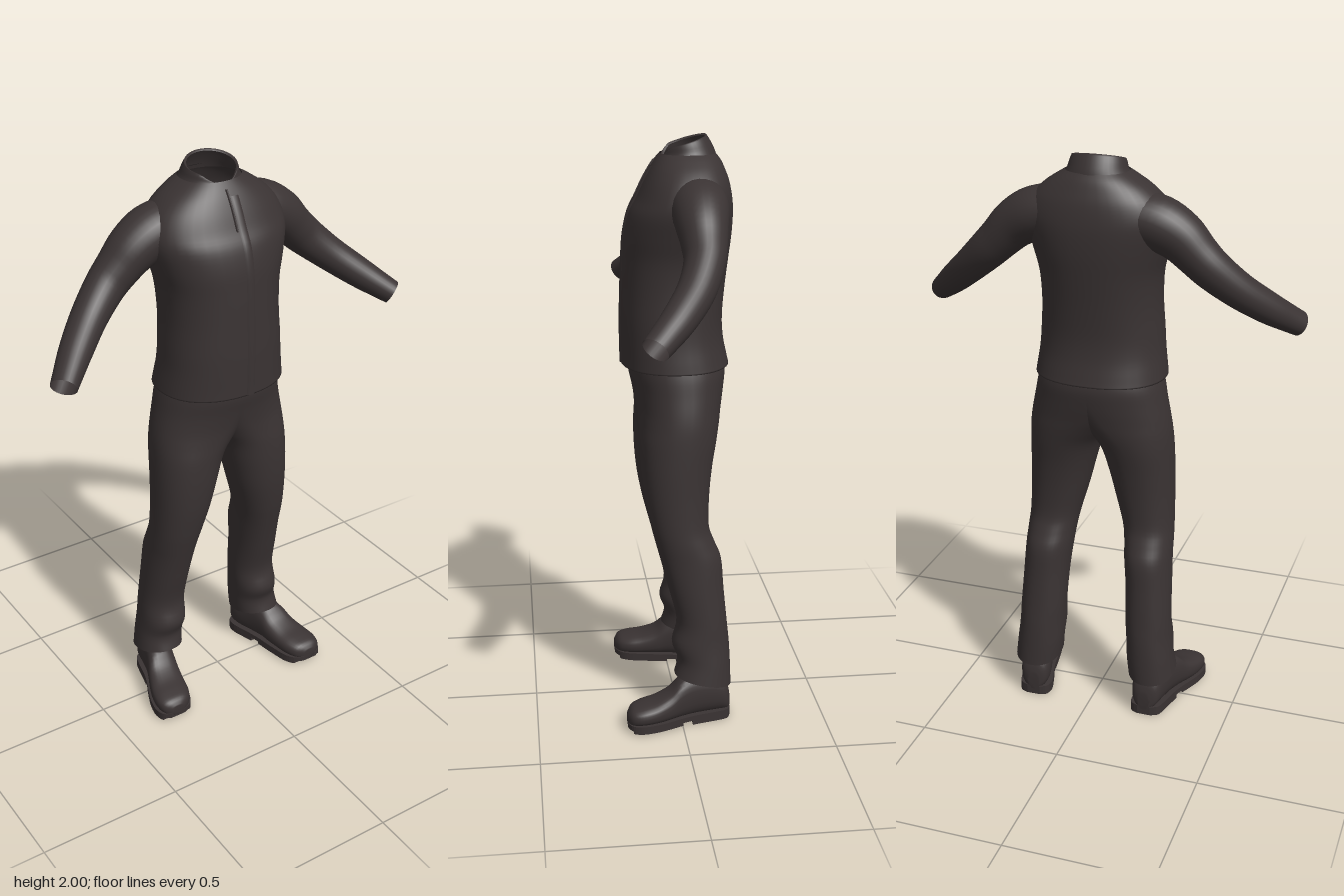
import * as THREE from 'three';

const cloth = new THREE.MeshStandardMaterial({ color: 0x3a3333, side: THREE.DoubleSide });
cloth.name = 'charcoal cloth';

const SEG = 40;

// Catmull-Rom resampling of a table of section rows
function smooth(rows, n) {
  const out = [];
  for (let i = 0; i < rows.length - 1; i++) {
    const a = rows[Math.max(i - 1, 0)], b = rows[i], c = rows[i + 1], d = rows[Math.min(i + 2, rows.length - 1)];
    for (let k = 0; k < n; k++) {
      const t = k / n;
      out.push(b.map((v, j) => 0.5 * (2 * v + (c[j] - a[j]) * t + (2 * a[j] - 5 * v + 4 * c[j] - d[j]) * t * t
        + (3 * v - a[j] - 3 * c[j] + d[j]) * t * t * t)));
    }
  }
  out.push(rows[rows.length - 1]);
  return out;
}

// Skin over closed rings of points; side -1 mirrors it in x
function loft(name, rings, side = 1, capped = false) {
  const pos = [], idx = [], n = rings[0].length;
  const tri = (a, b, c) => (side > 0 ? idx.push(a, b, c) : idx.push(a, c, b));
  rings.forEach(r => r.forEach(p => pos.push(p.x * side, p.y, p.z)));
  for (let r = 0; r < rings.length - 1; r++) {
    for (let i = 0; i < n; i++) {
      const j = (i + 1) % n, a = r * n + i, b = r * n + j;
      tri(a, a + n, b);
      tri(b, a + n, b + n);
    }
  }
  if (capped) {
    const top = (rings.length - 1) * n;
    for (let i = 1; i < n - 1; i++) {
      tri(0, i, i + 1);
      tri(top, top + i + 1, top + i);
    }
  }
  const g = new THREE.BufferGeometry();
  g.setAttribute('position', new THREE.Float32BufferAttribute(pos, 3));
  g.setIndex(idx);
  g.computeVertexNormals();
  const m = new THREE.Mesh(g, cloth);
  m.name = name;
  return m;
}

const power = (v, p) => Math.sign(v) * Math.abs(v) ** (2 / p);

// Rounded horizontal section: [y, outer x, inner x, centre x, front z, back z, tilt]
function section([y, xo, xi, cx, zf, zb, tilt], p) {
  return Array.from({ length: SEG }, (_, i) => {
    const a = (i / SEG) * Math.PI * 2, c = power(Math.cos(a), p), s = power(Math.sin(a), p);
    return new THREE.Vector3(cx + c * (c > 0 ? xo - cx : cx - xi), y + tilt * s, (zf + zb) / 2 + s * (zf - zb) / 2);
  });
}
const body = ([y, w, zf, zb, tilt = 0]) => [y, w, -w, 0, zf, zb, tilt];

const TORSO_P = 2.25;
const torsoRows = smooth([
  [1.24, 0.226, 0.180, -0.187], [1.27, 0.222, 0.180, -0.180], [1.33, 0.214, 0.181, -0.168],
  [1.40, 0.209, 0.181, -0.164], [1.50, 0.203, 0.178, -0.172], [1.60, 0.208, 0.174, -0.184],
  [1.68, 0.228, 0.168, -0.193], [1.75, 0.246, 0.152, -0.196], [1.80, 0.246, 0.126, -0.193],
  [1.85, 0.222, 0.102, -0.184], [1.89, 0.182, 0.080, -0.170], [1.92, 0.138, 0.060, -0.156],
  [1.94, 0.104, 0.044, -0.140],
].map(r => body([...r, 0])), 4);

// Front surface of the jacket at a given x and y
function frontZ(x, y) {
  let i = torsoRows.findIndex(r => r[0] >= y);
  i = Math.max(i, 1);
  const a = torsoRows[i - 1], b = torsoRows[i], t = (y - a[0]) / (b[0] - a[0]);
  const at = k => a[k] + (b[k] - a[k]) * t;
  const k = Math.max(0, 1 - (Math.abs(x) / at(1)) ** TORSO_P) ** (1 / TORSO_P);
  return (at(4) + at(5)) / 2 + k * (at(4) - at(5)) / 2;
}

// Thin strip lying on the jacket front
function strip(name, x, width, y0, y1, lift) {
  const g = new THREE.PlaneGeometry(width, y1 - y0, 4, 40);
  g.translate(x, (y0 + y1) / 2, 0);
  const p = g.attributes.position;
  for (let i = 0; i < p.count; i++) {
    const edge = Math.abs(p.getX(i) - x) > width * 0.45;
    p.setZ(i, frontZ(p.getX(i), p.getY(i)) + (edge ? -0.002 : lift));
  }
  g.computeVertexNormals();
  const m = new THREE.Mesh(g, cloth);
  m.name = name;
  return m;
}

// Sleeve rings set square to a path: [x, y, z, radius, depth radius]
function sleeve(side) {
  const rows = smooth([
    [0.13, 1.800, -0.062, 0.085, 0.095], [0.21, 1.782, -0.062, 0.090, 0.095], [0.28, 1.744, -0.060, 0.083, 0.085],
    [0.335, 1.692, -0.060, 0.073, 0.074], [0.39, 1.640, -0.053, 0.067, 0.066], [0.47, 1.570, -0.016, 0.059, 0.061],
    [0.55, 1.505, 0.043, 0.053, 0.056], [0.605, 1.462, 0.092, 0.046, 0.050], [0.642, 1.434, 0.126, 0.041, 0.046],
  ], 4);
  const at = i => new THREE.Vector3(...rows[Math.min(Math.max(i, 0), rows.length - 1)].slice(0, 3));
  const rings = rows.map((r, i) => {
    const t = at(i + 1).sub(at(i - 1)).normalize();
    const u = new THREE.Vector3(0, 0, 1).cross(t).normalize();
    const v = u.clone().cross(t);
    return Array.from({ length: 28 }, (_, k) => {
      const a = (k / 28) * Math.PI * 2;
      return at(i).addScaledVector(u, Math.cos(a) * r[3]).addScaledVector(v, Math.sin(a) * r[4]);
    });
  });
  return loft('sleeve', rings, side);
}

// Trouser leg including its half of the hips
const legRows = smooth([
  [0.145, 0.300, 0.133, 0.217, 0.020, -0.178, 0.022], [0.21, 0.291, 0.126, 0.210, 0.008, -0.176, 0.010],
  [0.28, 0.284, 0.121, 0.203, 0.027, -0.172, 0], [0.36, 0.278, 0.117, 0.198, 0.010, -0.164, 0],
  [0.48, 0.272, 0.112, 0.190, 0.038, -0.153, 0], [0.58, 0.267, 0.102, 0.183, 0.064, -0.145, 0],
  [0.64, 0.265, 0.095, 0.178, 0.080, -0.122, 0], [0.70, 0.262, 0.083, 0.172, 0.095, -0.103, 0],
  [0.80, 0.259, 0.055, 0.158, 0.114, -0.105, 0], [0.90, 0.257, 0.029, 0.143, 0.124, -0.116, 0],
  [0.99, 0.254, 0.000, 0.122, 0.127, -0.133, 0], [1.05, 0.250, -0.045, 0.085, 0.127, -0.146, 0],
  [1.10, 0.243, -0.085, 0.045, 0.131, -0.156, 0], [1.16, 0.231, -0.115, 0.012, 0.142, -0.168, 0],
  [1.22, 0.219, -0.130, 0, 0.155, -0.175, 0], [1.27, 0.205, -0.130, 0, 0.155, -0.165, 0],
], 4);

// Shoe sections along the foot: [z, centre x, half width, top]
const shoeRows = smooth([
  [-0.174, 0.212, 0.020, 0.085], [-0.160, 0.213, 0.046, 0.135], [-0.120, 0.217, 0.056, 0.170],
  [-0.050, 0.235, 0.055, 0.180], [0.000, 0.250, 0.058, 0.163], [0.040, 0.262, 0.064, 0.125],
  [0.090, 0.276, 0.069, 0.101], [0.140, 0.286, 0.068, 0.090], [0.175, 0.292, 0.053, 0.080], [0.192, 0.295, 0.024, 0.060],
], 4);

function shoeUpper(side) {
  const rings = shoeRows.map(([z, cx, w, top]) => Array.from({ length: 28 }, (_, i) => {
    const a = (i / 28) * Math.PI * 2, mid = (top + 0.02) / 2;
    return new THREE.Vector3(cx + w * power(Math.cos(a), 2.5), mid - (top - 0.02) / 2 * power(Math.sin(a), 2.5), z);
  }));
  return loft('shoe upper', rings, side, true);
}

// Flat slab following the shoe outline between two z values
function slab(name, side, z0, z1, y0, y1) {
  const rows = shoeRows.filter(r => r[0] >= z0 && r[0] <= z1);
  const pts = [...rows.map(r => [r[1] + r[2] + 0.004, r[0]]), ...rows.reverse().map(r => [r[1] - r[2] - 0.004, r[0]])];
  const shape = new THREE.Shape(pts.map(([x, z]) => new THREE.Vector2(x * side, -z)));
  const g = new THREE.ExtrudeGeometry(shape, { depth: y1 - y0, bevelEnabled: false });
  g.rotateX(-Math.PI / 2).translate(0, y0, 0);
  const m = new THREE.Mesh(g, cloth);
  m.name = name;
  return m;
}

// Stand-up collar, higher at the back and notched at the front
function collar() {
  const rows = smooth([[1.925, 0.112, 0.049, -0.146, 0], [1.945, 0.100, 0.043, -0.138, -0.005],
    [1.965, 0.094, 0.040, -0.124, -0.013], [1.978, 0.089, 0.037, -0.110, -0.022]].map(body), 3);
  const rings = rows.map((r, k) => section(r, 2).map(p => {
    if (p.z > -0.02) p.y -= 0.042 * (k / (rows.length - 1)) * Math.max(0, 1 - Math.abs(p.x) / 0.07);
    return p;
  }));
  // Folded-in rim
  rings.push(rings[rings.length - 1].map(p => new THREE.Vector3(p.x * 0.93, p.y - 0.006, (p.z + 0.036) * 0.93 - 0.036)));
  return loft('collar', rings);
}

export function createModel() {
  const model = new THREE.Group();
  model.name = 'outfit';

  const jacket = new THREE.Group();
  jacket.name = 'jacket';
  const hem = section(body([1.246, 0.216, 0.170, -0.177]), TORSO_P);
  jacket.add(loft('jacket body', [hem, ...torsoRows.map(r => section(r, TORSO_P))]));
  jacket.add(collar(), strip('placket', 0.014, 0.036, 1.242, 1.90, 0.004), strip('zip', -0.008, 0.008, 1.80, 1.92, 0.006));

  const trousers = new THREE.Group();
  trousers.name = 'trousers';
  const shoes = new THREE.Group();
  shoes.name = 'shoes';
  for (const side of [1, -1]) {
    jacket.add(sleeve(side));
    trousers.add(loft('trouser leg', legRows.map(r => section(r, 2.2)), side));
    shoes.add(shoeUpper(side));
    shoes.add(slab('sole', side, -0.18, 0.2, 0.016, 0.034));
    shoes.add(slab('heel', side, -0.18, -0.03, 0, 0.02));
    shoes.add(slab('forefoot tread', side, -0.005, 0.18, 0.006, 0.02));
  }
  model.add(jacket, trousers, shoes);
  return model;
}
